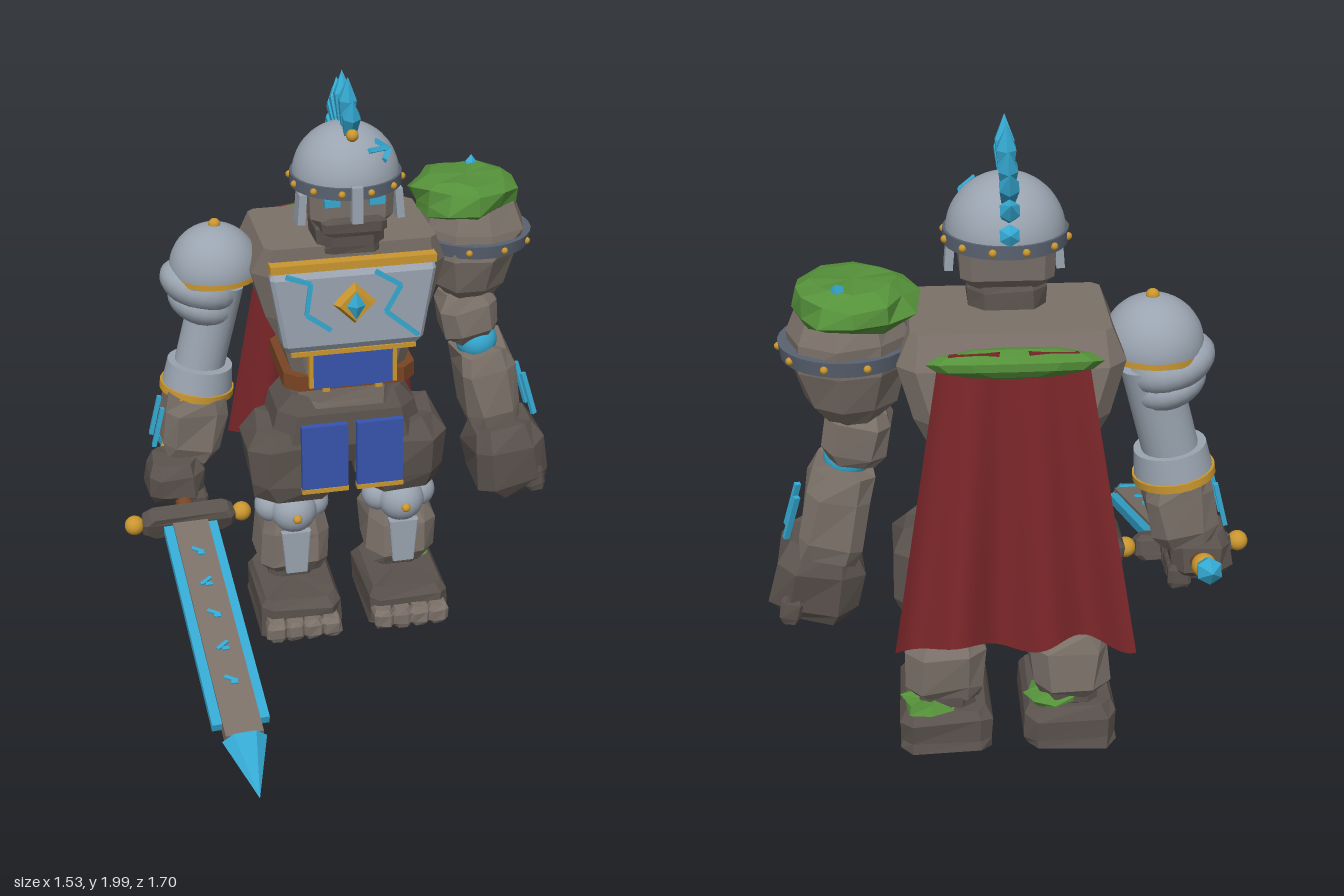
import * as THREE from 'three';

const V = (x, y, z) => new THREE.Vector3(x, y, z);
const CX = 0.025; // body centre line

export function createModel() {
  const root = new THREE.Group();
  root.name = 'stoneKnight';
  const mat = (name, color, side = THREE.FrontSide) => {
    const m = new THREE.MeshStandardMaterial({ color, side });
    m.name = name;
    return m;
  };
  const stone = mat('stone', 0x7b7169), dark = mat('darkStone', 0x5a524d), steel = mat('steel', 0x9aa4b0);
  const iron = mat('iron', 0x596270), gold = mat('gold', 0xc9962f), cyan = mat('crystalBlue', 0x35a9d2);
  const blue = mat('blueCloth', 0x3654ac), red = mat('redCloth', 0x7a2629, THREE.DoubleSide);
  const green = mat('moss', 0x55913a), leather = mat('leather', 0x7a4524);

  let seed = 7;
  const rnd = () => { seed = (seed * 16807) % 2147483647; return seed / 2147483647 - 0.5; };
  const add = (name, geo, m, pos = [0, 0, 0], rot = [0, 0, 0], parent = root) => {
    const mesh = new THREE.Mesh(geo, m);
    mesh.name = name;
    mesh.position.set(...pos);
    mesh.rotation.set(...rot);
    parent.add(mesh);
    return mesh;
  };
  const flat = (g) => { const f = g.index ? g.toNonIndexed() : g; f.computeVertexNormals(); return f; };

  // Faceted solid through rings of points, closed at both ends
  const loft = (rings) => {
    const p = [], tri = (...v) => v.forEach((q) => p.push(q.x, q.y, q.z));
    const n = rings[0].length, last = rings.length - 1;
    const mid = (r) => r.reduce((s, q) => s.add(q), V(0, 0, 0)).divideScalar(n);
    const cb = mid(rings[0]), ct = mid(rings[last]);
    for (let j = 0; j < n; j++) {
      const k = (j + 1) % n;
      for (let i = 0; i < last; i++) {
        const a = rings[i], b = rings[i + 1];
        tri(a[j], b[j], a[k]);
        tri(a[k], b[j], b[k]);
      }
      tri(cb, rings[0][j], rings[0][k]);
      tri(ct, rings[last][k], rings[last][j]);
    }
    const g = new THREE.BufferGeometry();
    g.setAttribute('position', new THREE.Float32BufferAttribute(p, 3));
    g.computeVertexNormals();
    return g;
  };
  // Chamfered rectangular ring
  const oct = (y, hw, zb, zf, c = 0.25, jit = 0) => {
    const cz = (zb + zf) / 2, hd = (zf - zb) / 2, k = c * Math.min(hw, hd), a = hw - k, b = hd - k;
    return [[hw, -b], [hw, b], [a, hd], [-a, hd], [-hw, b], [-hw, -b], [-a, -hd], [a, -hd]]
      .map(([x, z]) => V(x + rnd() * jit, y + rnd() * jit, cz + z + rnd() * jit));
  };
  const rock = (w, h, d, top = 0.75, bot = 0.75, c = 0.4, jit = 0.1) => {
    const r = (y, s) => oct(y * h, w / 2 * s, -d / 2 * s, d / 2 * s, c, jit * Math.min(w, h, d));
    return loft([r(-0.5, bot), r(-0.28, 1), r(0.25, 1), r(0.5, top)]);
  };
  // Irregular round boulder from [height, radius] pairs
  const blob = (prof, n, jit) => loft(prof.map(([y, r]) => Array.from({ length: n }, (_, i) => {
    const a = i / n * Math.PI * 2, q = r * (1 + rnd() * jit);
    return V(Math.cos(a) * q, y + rnd() * jit * 0.08, Math.sin(a) * q);
  })));
  const box = (w, h, d) => new THREE.BoxGeometry(w, h, d);
  const ball = (r) => new THREE.SphereGeometry(r, 20, 14);
  const aim = (mesh, p, q) => {
    mesh.quaternion.setFromUnitVectors(V(0, 1, 0), q.clone().sub(p).normalize());
    return mesh;
  };
  const bar = (name, p, q, w, d, m, parent = root) =>
    aim(add(name, box(w, p.distanceTo(q), d), m, p.clone().lerp(q, 0.5).toArray(), [0, 0, 0], parent), p, q);
  const crystal = (name, p, q, r, parent = root) => {
    const l = p.distanceTo(q);
    const prof = [[0, 0], [r * 0.6, 0], [r, l * 0.6], [0, l]].map(([x, y]) => new THREE.Vector2(x, y));
    return aim(add(name, flat(new THREE.LatheGeometry(prof, 6)), cyan, p.toArray(), [0, 0, 0], parent), p, q);
  };
  const rivets = (n, x, y, z, r) => {
    for (let i = 0; i < n; i++) {
      const a = (i + 0.5) / n * Math.PI * 2;
      add('rivet', new THREE.SphereGeometry(0.012, 8, 6), gold, [x + Math.sin(a) * r, y, z + Math.cos(a) * r]);
    }
  };

  // Head and helmet
  const HZ = -0.38, HY = 1.66;
  add('head', loft([oct(1.51, 0.1, -0.46, -0.27), oct(1.55, 0.135, -0.5, -0.25), oct(1.66, 0.14, -0.51, -0.245)]), stone, [CX, 0, 0]);
  add('jaw', rock(0.21, 0.06, 0.08), dark, [CX, 1.53, -0.27]);
  add('neck', rock(0.23, 0.1, 0.22, 0.9, 1), dark, [CX, 1.48, -0.37]);
  add('helmetDome', new THREE.SphereGeometry(0.175, 32, 14, 0, Math.PI * 2, 0, Math.PI / 2), steel, [CX, HY, HZ]);
  add('helmetBand', new THREE.CylinderGeometry(0.182, 0.182, 0.04, 32), iron, [CX, 1.655, HZ]);
  rivets(12, CX, 1.655, HZ, 0.183);
  add('noseGuard', box(0.035, 0.12, 0.03), steel, [CX, 1.62, -0.2]);
  for (const s of [-1, 1]) {
    add('eye', box(0.05, 0.026, 0.03), cyan, [CX + s * 0.073, 1.617, -0.245]);
    add('cheekGuard', box(0.025, 0.1, 0.07), steel, [CX + s * 0.16, 1.58, -0.32], [0, 0, s * 0.08]);
  }
  // Crest of crystals fanned over the dome, as [z, y] of each tip
  const tips = [[-0.26, 1.94], [-0.335, 1.995], [-0.43, 1.99], [-0.52, 1.94], [-0.58, 1.89], [-0.605, 1.81], [-0.585, 1.715]];
  tips.forEach(([z, y]) => {
    const tip = V(CX, y, z), c = V(CX, HY, HZ);
    crystal('crestCrystal', c.clone().add(tip.clone().sub(c).setLength(0.15)), tip, 0.032);
  });
  add('crestStud', ball(0.02), gold, [CX, 1.825, -0.27]);
  const onDome = (x, y) => V(CX + x, HY + y, HZ + Math.sqrt(0.178 ** 2 - x * x - y * y));
  [[0.05, 0.115, 0.12, 0.105], [0.08, 0.135, 0.125, 0.1], [0.1, 0.08, 0.125, 0.1]].forEach(([a, b, c, d]) =>
    bar('helmetRune', onDome(a, b), onDome(c, d), 0.016, 0.016, cyan));

  // Torso, breastplate and belt
  add('torso', loft([oct(0.93, 0.18, -0.6, -0.31), oct(1.06, 0.215, -0.68, -0.29), oct(1.2, 0.28, -0.71, -0.28),
    oct(1.36, 0.325, -0.7, -0.28), oct(1.455, 0.285, -0.655, -0.28, 0.12)]), stone, [CX, 0, 0]);
  add('breastplate', loft([oct(1.09, 0.215, -0.32, -0.26), oct(1.12, 0.235, -0.34, -0.24),
    oct(1.36, 0.275, -0.34, -0.24), oct(1.39, 0.27, -0.32, -0.26)]), steel, [CX, 0, 0]);
  add('collarTrim', box(0.55, 0.027, 0.05), gold, [CX, 1.398, -0.265]);
  add('emblemFrame', flat(new THREE.CylinderGeometry(0.055, 0.075, 0.03, 4)), gold, [CX, 1.265, -0.228], [Math.PI / 2, 0, 0]);
  add('emblemGem', flat(new THREE.OctahedronGeometry(1, 0)), cyan, [CX, 1.265, -0.215]).scale.set(0.034, 0.055, 0.022);
  const zig = [[-0.2, 1.375, -0.12, 1.345, -0.135, 1.235, -0.055, 1.175], [0.095, 1.37, 0.18, 1.315, 0.13, 1.225, 0.24, 1.13]];
  for (const z of zig) for (let i = 0; i < 6; i += 2)
    bar('chestRune', V(z[i], z[i + 1], -0.238), V(z[i + 2], z[i + 3], -0.238), 0.015, 0.012, cyan);
  add('bellyCloth', box(0.27, 0.13, 0.03), blue, [CX, 1.015, -0.28]);
  add('bellyTrim', box(0.42, 0.016, 0.03), gold, [CX, 1.088, -0.265]);
  for (const s of [-1, 1]) add('bellyTrimSide', box(0.014, 0.13, 0.035), gold, [CX + s * 0.142, 1.02, -0.278]);
  add('belt', loft([oct(0.935, 0.225, -0.645, -0.285), oct(0.99, 0.225, -0.645, -0.285)]), leather, [CX, 0, 0]);
  for (const s of [-1, 1]) add('beltLoop', box(0.025, 0.062, 0.02), gold, [CX + s * 0.09, 0.963, -0.281]);
  add('waist', rock(0.34, 0.12, 0.28, 1, 1), stone, [CX, 0.9, -0.46]);

  // Hips and loincloths
  add('hips', loft([oct(0.62, 0.24, -0.6, -0.34, 0.4), oct(0.7, 0.27, -0.63, -0.31, 0.4),
    oct(0.82, 0.24, -0.62, -0.32, 0.4), oct(0.88, 0.19, -0.58, -0.35)]), dark, [CX, 0, 0]);
  for (const s of [-1, 1]) {
    add('thigh', rock(0.3, 0.27, 0.3, 0.75, 0.9), dark, [CX + s * 0.19, 0.63, -0.45]);
    for (const [z, tilt] of [[-0.285, 0], [-0.64, 0.1]]) {
      const g = new THREE.Group();
      g.name = 'loincloth';
      g.position.set(CX + s * 0.096, 0.675, z);
      g.rotation.x = tilt;
      root.add(g);
      add('loinclothPanel', box(0.16, 0.25, 0.025), blue, [0, 0, 0], [0, 0, 0], g);
      add('loinclothTrim', box(0.163, 0.016, 0.032), gold, [0, -0.122, 0], [0, 0, 0], g);
    }
  }

  // Legs
  for (const s of [-1, 1]) {
    const x = CX + s * 0.193;
    add('kneeJoint', ball(0.07), cyan, [x, 0.44, -0.48]);
    add('kneeCap', ball(0.082), steel, [x, 0.435, -0.37]);
    for (const t of [-1, 1]) add('kneeSide', ball(0.062), steel, [x + t * 0.07, 0.44, -0.41]);
    add('kneeStud', ball(0.016), gold, [x, 0.438, -0.288]);
    add('shin', rock(0.24, 0.23, 0.25, 0.85, 0.75), stone, [x, 0.29, -0.46]);
    add('shinPlate', loft([oct(0.205, 0.038, -0.34, -0.315), oct(0.37, 0.052, -0.35, -0.31)]), steel, [x, 0, 0]);
    add('ankle', rock(0.17, 0.09, 0.17), dark, [x, 0.175, -0.47]);
    add('foot', rock(0.285, 0.14, 0.38, 0.88, 1, 0.25), dark, [CX + s * 0.195, 0.08, -0.4]);
    for (let i = 0; i < 4; i++)
      add('toe', rock(0.07, 0.075, 0.09), stone, [CX + s * (0.095 + i * 0.065), 0.05, -0.215]);
    add('footMoss', blob([[0, 0.085], [0.015, 0.08], [0.03, 0.03]], 8, 0.4), green, [x + 0.05, 0.15, -0.5]);
  }

  // Armoured right arm
  add('pauldron', new THREE.SphereGeometry(0.15, 28, 14, 0, Math.PI * 2, 0, Math.PI * 0.55), steel, [-0.4, 1.335, -0.47], [0, 0, 0.06]);
  add('pauldronRim', new THREE.CylinderGeometry(0.15, 0.15, 0.018, 28), gold, [-0.4, 1.32, -0.47]);
  add('pauldronStud', ball(0.02), gold, [-0.395, 1.485, -0.47]);
  add('pauldronLameUpper', ball(1), steel, [-0.455, 1.275, -0.475], [0, 0, -0.4]).scale.set(0.135, 0.08, 0.13);
  add('pauldronLameLower', ball(1), steel, [-0.45, 1.21, -0.475], [0, 0, -0.4]).scale.set(0.115, 0.07, 0.115);
  aim(add('upperArmPlate', new THREE.CylinderGeometry(0.085, 0.085, 0.33, 20), steel, [-0.43, 1.12, -0.47]), V(-0.47, 0.95, -0.46), V(-0.39, 1.25, -0.47));
  const ra = [0, 0, -0.16];
  add('cuff', new THREE.CylinderGeometry(0.11, 0.12, 0.09, 24), steel, [-0.47, 0.955, -0.46], ra);
  add('cuffRim', new THREE.CylinderGeometry(0.126, 0.126, 0.025, 24), gold, [-0.478, 0.91, -0.46], ra);
  add('forearm', rock(0.2, 0.24, 0.21, 0.95, 0.75), stone, [-0.5, 0.79, -0.44], ra);
  for (const z of [-0.48, -0.39]) bar('forearmRune', V(-0.605, 0.87, z), V(-0.64, 0.73, z), 0.014, 0.018, cyan);
  add('rightFist', rock(0.19, 0.15, 0.2), dark, [-0.575, 0.61, -0.39]);
  for (let i = 0; i < 4; i++) add('finger', rock(0.07, 0.08, 0.05), dark, [-0.51, 0.545, -0.45 + i * 0.045]);

  // Sword, blade along its own +z
  const sword = new THREE.Group();
  sword.name = 'sword';
  sword.position.set(-0.553, 0.527, -0.23);
  root.add(sword);
  sword.lookAt(-0.498, 0.187, 0.855);
  const put = (n, g, m, p, r) => add(n, g, m, p, r, sword);
  put('guard', rock(0.31, 0.085, 0.075, 0.85, 0.85), dark, [0, 0, 0]);
  for (const s of [-1, 1]) {
    put('guardKnob', ball(0.033), gold, [s * 0.183, 0, 0]);
    put('bladeEdge', box(0.032, 0.03, 0.83), cyan, [s * 0.074, 0, 0.45]);
  }
  put('bladeCore', box(0.118, 0.05, 0.9), stone, [0, 0, 0.47]);
  put('bladeTip', flat(new THREE.ConeGeometry(0.07, 0.22, 6)), cyan, [0, 0, 1.03], [Math.PI / 2, Math.PI / 2, 0]).scale.set(0.55, 1, 1);
  for (let i = 0; i < 5; i++) {
    put('bladeRune', box(0.045, 0.008, 0.012), cyan, [0, 0.027, 0.17 + i * 0.135], [0, i % 2 ? 0.6 : -0.6, 0]);
    put('bladeRuneTick', box(0.022, 0.008, 0.012), cyan, [0.008, 0.027, 0.185 + i * 0.135]);
  }
  put('grip', new THREE.CylinderGeometry(0.03, 0.03, 0.3, 10), leather, [0, 0, -0.17], [Math.PI / 2, 0, 0]);
  put('pommel', ball(0.038), gold, [0, 0, -0.33]);
  crystal('pommelCrystal', V(0, 0, -0.34), V(0, 0, -0.46), 0.042, sword);

  // Boulder left arm
  const LX = 0.48, LZ = -0.5;
  add('boulderShoulder', blob([[1.14, 0.07], [1.21, 0.14], [1.33, 0.18], [1.42, 0.185], [1.5, 0.15]], 9, 0.14), stone, [LX, 0, LZ]);
  add('shoulderBand', new THREE.CylinderGeometry(0.197, 0.19, 0.045, 28), iron, [LX + 0.01, 1.37, LZ]);
  rivets(10, LX + 0.01, 1.37, LZ, 0.195);
  add('shoulderMoss', blob([[1.47, 0.16], [1.5, 0.185], [1.55, 0.175], [1.575, 0.12]], 12, 0.22), green, [0.465, 0, -0.52]);
  crystal('mossCrystal', V(0.5, 1.54, -0.59), V(0.515, 1.6, -0.63), 0.024);
  add('leftUpperArm', rock(0.19, 0.18, 0.2), stone, [0.47, 1.09, -0.48], [0, 0, 0.2]);
  add('leftElbow', ball(0.072), cyan, [0.5, 0.99, -0.45]);
  add('leftForearm', rock(0.2, 0.3, 0.25, 0.85, 0.85), stone, [0.54, 0.825, -0.46], [0, 0, 0.2]);
  for (const z of [-0.47, -0.38]) bar('forearmRune', V(0.655, 0.87, z - 0.01), V(0.695, 0.72, z + 0.015), 0.014, 0.018, cyan);
  add('leftFist', rock(0.26, 0.25, 0.27), dark, [0.605, 0.57, -0.4], [0, 0, 0.2]);
  for (let i = 0; i < 4; i++) add('knuckle', rock(0.07, 0.1, 0.06), dark, [0.685, 0.505, -0.5 + i * 0.065], [0, 0, 0.2]);

  // Cape: widening, rippled sheet hung from a mossy mantle
  const cape = new THREE.PlaneGeometry(2, 1, 40, 12);
  const cp = cape.attributes.position;
  for (let i = 0; i < cp.count; i++) {
    const s = cp.getX(i), t = 0.5 - cp.getY(i);
    cp.setXYZ(i, CX + s * (0.21 + 0.14 * t), 1.4 - t * 0.87 - 0.02 * t * Math.cos(s * 7),
      -0.715 - 0.095 * t + (0.008 + 0.027 * t) * Math.sin(s * 8.5 + 0.6));
  }
  cape.computeVertexNormals();
  add('cape', cape, red);
  add('mantle', flat(new THREE.SphereGeometry(1, 12, 6)), green, [0.02, 1.39, -0.715], [0.35, 0, 0]).scale.set(0.25, 0.045, 0.06);
  for (const s of [-1, 1])
    bar('mantleFold', V(CX + s * 0.04, 1.425, -0.745), V(CX + s * 0.18, 1.412, -0.725), 0.02, 0.02, red);
  return root;
}
